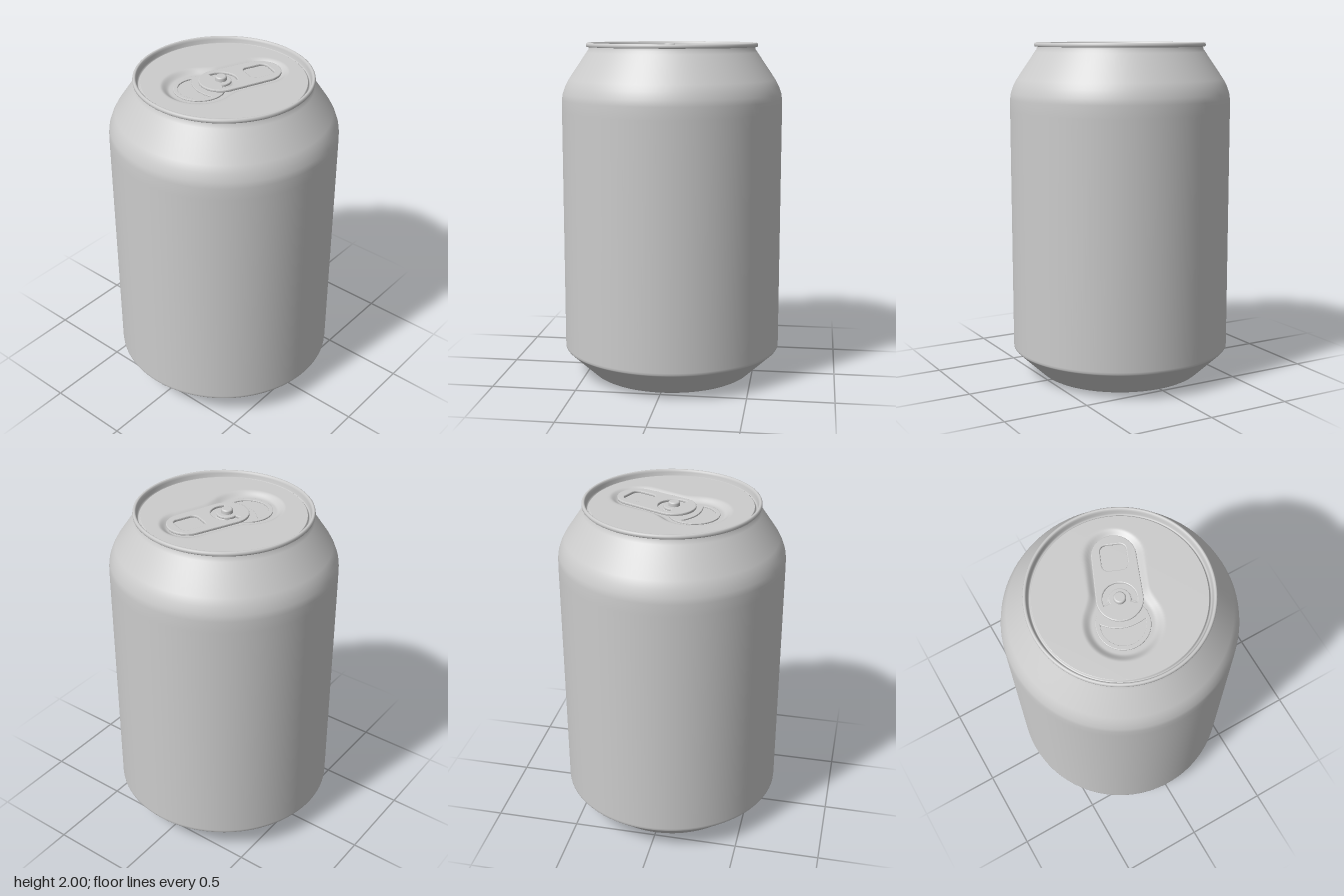
import * as THREE from 'three';
import { mergeVertices } from 'three/addons/utils/BufferGeometryUtils.js';

const SEGMENTS = 128;
const PANEL_Y = 1.97, RECESS_DEPTH = 0.025, FLOOR_Y = PANEL_Y - RECESS_DEPTH;
const TILT = 0.39; // turn of the pull tab away from the back
const RIVET = new THREE.Vector2(-0.01, 0.015); // x, z
const MOUTH = new THREE.Vector2(-0.06, 0.14);
const TAB_LENGTH = 0.25; // between the centres of its round ends

const material = new THREE.MeshStandardMaterial({ color: 0xcccccc });

function part(name, geometry) {
  const mesh = new THREE.Mesh(geometry, material);
  mesh.name = name;
  return mesh;
}

function lathe(points, segments = SEGMENTS) {
  return new THREE.LatheGeometry(points.map(([r, y]) => new THREE.Vector2(r, y)), segments);
}

// Extrudes a plan shape upwards, with a small rounded edge
function plate(shape, height, bevel) {
  const g = new THREE.ExtrudeGeometry(shape, {
    depth: height - 2 * bevel, bevelEnabled: true, bevelThickness: bevel,
    bevelSize: bevel, bevelOffset: -bevel, bevelSegments: 2, curveSegments: 28,
  });
  return g.translate(0, 0, bevel).rotateX(-Math.PI / 2);
}

// Distance to the edge of the sunken area: a round mouth blended with the tab bed
function recessDistance(p) {
  const axis = new THREE.Vector2(Math.sin(TILT), -Math.cos(TILT));
  const along = THREE.MathUtils.clamp(p.clone().sub(RIVET).dot(axis), 0, TAB_LENGTH);
  const bed = p.distanceTo(axis.multiplyScalar(along).add(RIVET)) - 0.158;
  const mouth = p.distanceTo(MOUTH) - 0.21;
  const k = 0.04, h = Math.max(k - Math.abs(bed - mouth), 0) / k;
  return Math.min(bed, mouth) - h * h * k / 4;
}

function lidPanel() {
  const rings = 84, profile = [];
  for (let i = 0; i <= rings; i++) profile.push([0.464 * (1 - i / rings), PANEL_Y]);
  let g = lathe(profile);
  g.deleteAttribute('normal');
  g.deleteAttribute('uv');
  const pos = g.attributes.position, p = new THREE.Vector2();
  for (let i = 0; i < pos.count; i++) {
    p.set(pos.getX(i), pos.getZ(i));
    const sink = 1 - THREE.MathUtils.smoothstep(recessDistance(p), -0.045, 0.005);
    // low boss that carries the rivet
    const boss = 1 - THREE.MathUtils.smoothstep(p.distanceTo(RIVET), 0.04, 0.065);
    pos.setY(i, PANEL_Y - RECESS_DEPTH * sink + 0.01 * boss);
  }
  g = mergeVertices(g, 1e-5);
  g.computeVertexNormals();
  return g;
}

function tabShape() {
  const s = new THREE.Shape();
  s.absarc(0, 0, 0.125, Math.PI, 2 * Math.PI, false);
  s.absarc(0, TAB_LENGTH, 0.12, 0, Math.PI, false);
  s.closePath();

  // finger hole
  const hole = new THREE.Path(), w = 0.07, r = 0.035, cy = TAB_LENGTH - 0.01;
  for (const [sx, sy, a] of [[1, -1, -0.5], [1, 1, 0], [-1, 1, 0.5], [-1, -1, 1]]) {
    hole.absarc(sx * (w - r), cy + sy * (w + 0.005 - r), r, a * Math.PI, (a + 0.5) * Math.PI, false);
  }
  hole.closePath();

  // C-shaped slot around the rivet
  const slot = new THREE.Path(), a0 = -0.11 * Math.PI, a1 = 1.11 * Math.PI;
  slot.absarc(0, 0, 0.092, a0, a1, false);
  slot.absarc(0, 0, 0.06, a1, a0, true);
  slot.closePath();
  s.holes.push(hole, slot);
  return s;
}

// Raised score band round the opening, with a crescent inside
function mouthShape() {
  const s = new THREE.Shape().absarc(0, 0, 0.145, 0, 2 * Math.PI, false);
  const crescent = new THREE.Path();
  const a0 = 0.85 * Math.PI, a1 = 1.92 * Math.PI, r = 0.12;
  crescent.absarc(0, 0, r, a0, a1, false);
  crescent.quadraticCurveTo(-0.03, -0.05, r * Math.cos(a0), r * Math.sin(a0));
  s.holes.push(crescent);
  return s;
}

export function createModel() {
  const can = new THREE.Group();
  can.name = 'drinkCan';

  // Domed base, chamfered foot, straight wall and tapering neck
  can.add(part('body', lathe([
    [0, 0.1], [0.14, 0.097], [0.25, 0.085], [0.34, 0.055], [0.41, 0.02], [0.44, 0.004], [0.455, 0],
    [0.47, 0.001], [0.485, 0.009], [0.5, 0.022], [0.648, 0.16], [0.653, 0.167], [0.654, 0.18],
    [0.654, 1.6], [0.653, 1.67], [0.648, 1.705], [0.632, 1.75], [0.612, 1.787],
    [0.505, 1.945], [0.493, 1.962], [0.49, 1.98],
  ])));

  // Rolled seam and the trough inside it
  can.add(part('rim', lathe([
    [0.488, 1.976], [0.502, 1.976], [0.506, 1.98], [0.507, 1.988], [0.505, 1.996], [0.5, 2],
    [0.493, 2], [0.488, 1.996], [0.485, 1.985], [0.482, 1.966], [0.478, 1.957], [0.473, 1.957],
    [0.469, 1.962], [0.467, 1.968], [0.464, 1.97],
  ])));

  can.add(part('lidPanel', lidPanel()));

  const mouth = part('mouthScore', plate(mouthShape(), 0.01, 0.003));
  mouth.position.set(MOUTH.x, FLOOR_Y - 0.002, MOUTH.y);
  can.add(mouth);

  // Pull tab and its rivet
  const tab = part('pullTab', plate(tabShape(), 0.016, 0.005));
  tab.position.set(RIVET.x, FLOOR_Y + 0.011, RIVET.y);
  tab.rotation.y = -TILT;
  can.add(tab);

  const rivet = part('rivet', lathe([
    [0.033, FLOOR_Y], [0.033, 1.988], [0.031, 1.993], [0.026, 1.996], [0.025, 1.996], [0, 1.996],
  ], 32));
  rivet.position.set(RIVET.x, 0, RIVET.y);
  can.add(rivet);

  return can;
}
